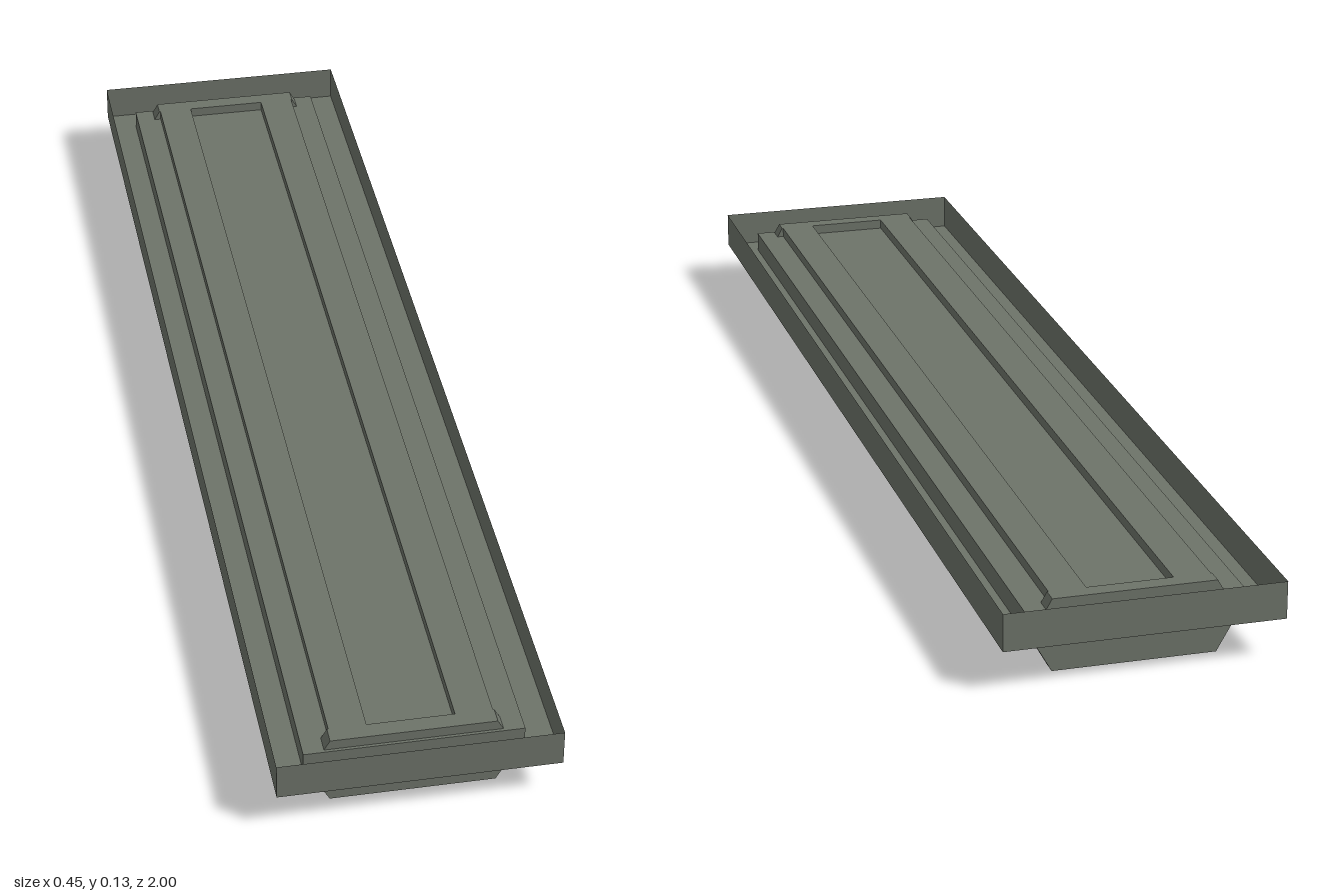
import * as THREE from 'three';

// Sheet-metal strip: an open x/y profile swept straight from z0 to z1
function strip(profile, z0, z1) {
  const v = [];
  for (let i = 0; i < profile.length - 1; i++) {
    const [ax, ay] = profile[i], [bx, by] = profile[i + 1];
    v.push(ax, ay, z1, bx, by, z1, bx, by, z0, ax, ay, z1, bx, by, z0, ax, ay, z0);
  }
  const g = new THREE.BufferGeometry();
  g.setAttribute('position', new THREE.Float32BufferAttribute(v, 3));
  g.computeVertexNormals();
  return g;
}

export function createModel() {
  const model = new THREE.Group();
  model.name = 'twinTubeLight';
  const metal = new THREE.MeshStandardMaterial({ color: 0x6d7369, side: THREE.DoubleSide });
  metal.name = 'grey green metal';
  const glass = new THREE.MeshStandardMaterial({ color: 0x848484 });
  glass.name = 'grey tube';

  const add = (name, geometry, material = metal) => {
    const mesh = new THREE.Mesh(geometry, material);
    mesh.name = name;
    model.add(mesh);
    return mesh;
  };

  const W = 0.225, L = 1, BOTTOM = 0.068, TOP = 0.13; // outer tray
  const w = 0.175, l = 0.95, PAN = 0.103, RIDGE = 0.12; // raised pan
  const capIn = 0.917, capOut = 0.945;

  // Thin outer walls and the walls of the raised pan
  const walls = (name, hw, hl, y0, y1) => {
    for (const s of [-1, 1]) {
      add(name + 'Side', new THREE.PlaneGeometry(2 * hl, y1 - y0).rotateY(s * Math.PI / 2)
        .translate(s * hw, (y0 + y1) / 2, 0));
      add(name + 'End', new THREE.PlaneGeometry(2 * hw, y1 - y0).rotateY(s > 0 ? 0 : Math.PI)
        .translate(0, (y0 + y1) / 2, s * hl));
    }
  };
  walls('trayWall', W, L, BOTTOM, TOP);
  walls('panWall', w, l, BOTTOM, PAN);

  // Flat flange around the pan
  const rect = (Type, a, b) => {
    const p = new Type();
    p.moveTo(-a, -b);
    p.lineTo(a, -b);
    p.lineTo(a, b);
    p.lineTo(-a, b);
    p.closePath();
    return p;
  };
  const flange = rect(THREE.Shape, W, L);
  flange.holes.push(rect(THREE.Path, w, l));
  add('flange', new THREE.ShapeGeometry(flange).rotateX(-Math.PI / 2).translate(0, BOTTOM, 0));

  // Pan with a raised channel above each tube
  const half = [[0.07, PAN], [0.07, RIDGE], [0.13, RIDGE], [0.13, PAN], [w, PAN]];
  const profile = [...half.map(([x, y]) => [-x, y]).reverse(), ...half];
  add('reflectorPan', strip(profile, -capIn, capIn));
  for (const s of [-1, 1]) {
    add('panEnd', strip([[-w, PAN], [w, PAN]], Math.min(s * capIn, s * l), Math.max(s * capIn, s * l)));
  }

  // Six-sided lamp holders at both ends
  const cap = new THREE.Shape([[-0.132, 0], [0.132, 0], [0.166, 0.06], [0.132, RIDGE], [-0.132, RIDGE], [-0.166, 0.06]]
    .map(([x, y]) => new THREE.Vector2(x, y)));
  const capGeometry = new THREE.ExtrudeGeometry(cap, { depth: capOut - capIn, bevelEnabled: false });
  for (const z of [-capOut, capIn]) add('lampHolder', capGeometry).position.z = z;

  // Fluorescent tubes
  const tube = new THREE.CylinderGeometry(0.044, 0.044, 2 * capIn, 32).rotateX(Math.PI / 2);
  for (const s of [-1, 1]) add('tube', tube, glass).position.set(s * 0.1, 0.059, 0);

  return model;
}
